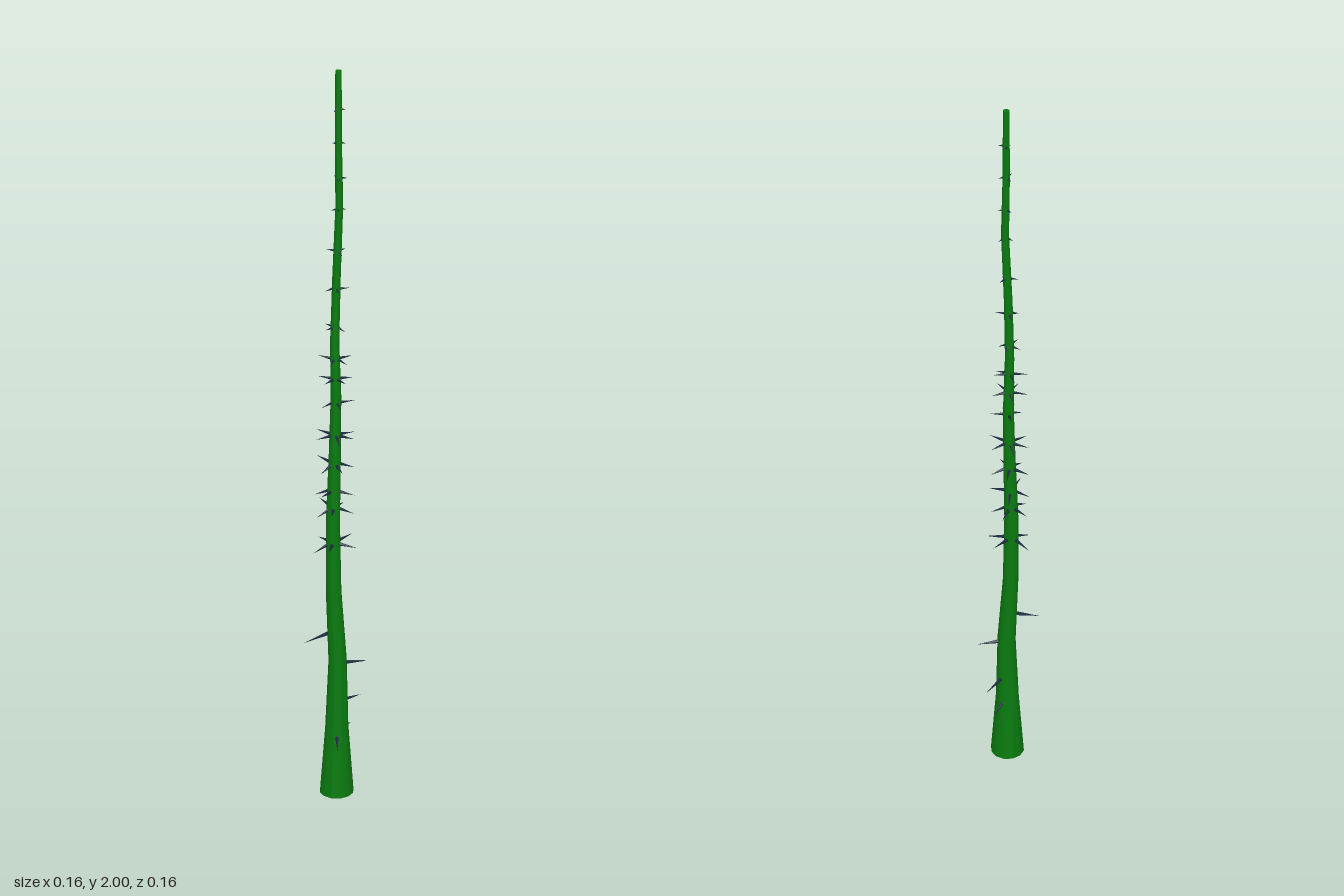
import * as THREE from 'three';

// Stem stations: height, centre x, centre z, radius
const STATIONS = [
  [0, 0, 0.002, 0.047], [0.2, 0, 0.001, 0.032], [0.4, 0.002, 0, 0.025],
  [0.6, -0.009, 0, 0.021], [0.8, -0.011, 0, 0.019], [1, -0.006, -0.002, 0.016],
  [1.15, -0.004, -0.005, 0.014], [1.3, -0.006, 0, 0.012], [1.47, -0.006, -0.016, 0.011],
  [1.66, 0.004, -0.007, 0.010], [1.82, 0, -0.012, 0.009], [2, -0.001, -0.016, 0.008],
];

// Centre and radius of the stem at a height
function stemAt(y) {
  let i = 0;
  while (i < STATIONS.length - 2 && y > STATIONS[i + 1][0]) i++;
  const a = STATIONS[i], b = STATIONS[i + 1];
  const t = (y - a[0]) / (b[0] - a[0]);
  const [x, z, r] = [1, 2, 3].map((k) => THREE.MathUtils.lerp(a[k], b[k], t));
  return { x, z, r };
}

// Capped cylinder bent and tapered along the stations
function makeStem() {
  const rows = STATIONS.length - 1;
  const geo = new THREE.CylinderGeometry(1, 1, rows, 12, rows);
  const p = geo.attributes.position;
  for (let i = 0; i < p.count; i++) {
    const [y, x, z, r] = STATIONS[Math.round(p.getY(i) + rows / 2)];
    p.setXYZ(i, x + p.getX(i) * r, y, z + p.getZ(i) * r);
  }
  geo.computeVertexNormals();
  const mesh = new THREE.Mesh(geo, new THREE.MeshStandardMaterial({ color: 0x0a7a10 }));
  mesh.name = 'stem';
  return mesh;
}

export function createModel() {
  const group = new THREE.Group();
  group.name = 'thornyStem';
  group.add(makeStem());

  const thorns = new THREE.Group();
  thorns.name = 'thorns';
  group.add(thorns);
  const thornMaterial = new THREE.MeshStandardMaterial({ color: 0x1c2a40, flatShading: true });
  const up = new THREE.Vector3(0, 1, 0);

  // Slim cone rooted inside the stem, its tip at the given reach from the stem centre
  function addThorn(y, angle, reach, rise) {
    const { x, z, r } = stemAt(y);
    const dir = new THREE.Vector3(Math.cos(angle), 0, Math.sin(angle));
    const base = new THREE.Vector3(x, y, z).addScaledVector(dir, r * 0.7);
    const tip = new THREE.Vector3(x, y + rise, z).addScaledVector(dir, reach);
    const axis = tip.clone().sub(base);
    const length = axis.length();
    const geo = new THREE.ConeGeometry(0.0025 + length * 0.05, length, 5);
    const thorn = new THREE.Mesh(geo, thornMaterial);
    thorn.name = 'thorn';
    thorn.position.copy(base).add(tip).multiplyScalar(0.5);
    thorn.quaternion.setFromUnitVectors(up, axis.normalize());
    thorns.add(thorn);
  }

  // Scattered thorns on the lower stem: height, tip x, tip z, rise
  for (const [y, tx, tz, rise] of [
    [0.18, 0.027, 0.083, -0.01], [0.19, 0.02, -0.07, -0.015], [0.27, 0.043, -0.08, -0.01],
    [0.39, 0.077, -0.036, 0], [0.48, -0.08, 0.04, -0.025],
  ]) {
    const c = stemAt(y);
    addThorn(y, Math.atan2(tz - c.z, tx - c.x), Math.hypot(tx - c.x, tz - c.z), rise);
  }

  // Whorls up the stem: height, thorn count, reach
  [
    [0.74, 5, 0.067], [0.84, 5, 0.06], [0.89, 4, 0.058], [0.965, 5, 0.058],
    [1.045, 6, 0.055], [1.135, 4, 0.043], [1.2, 5, 0.046], [1.255, 5, 0.042],
    [1.34, 4, 0.033], [1.44, 4, 0.031], [1.54, 3, 0.027], [1.65, 3, 0.022],
    [1.73, 3, 0.021], [1.82, 3, 0.02], [1.905, 3, 0.02],
  ].forEach(([y, count, reach], w) => {
    for (let k = 0; k < count; k++) {
      const wobble = Math.sin(w * 5.3 + k * 2.1);
      const angle = w * 2.4 + (k / count) * Math.PI * 2 + wobble * 0.2;
      addThorn(y, angle, reach * (1 + 0.12 * wobble), reach * (0.2 * wobble - 0.1));
    }
  });

  return group;
}
